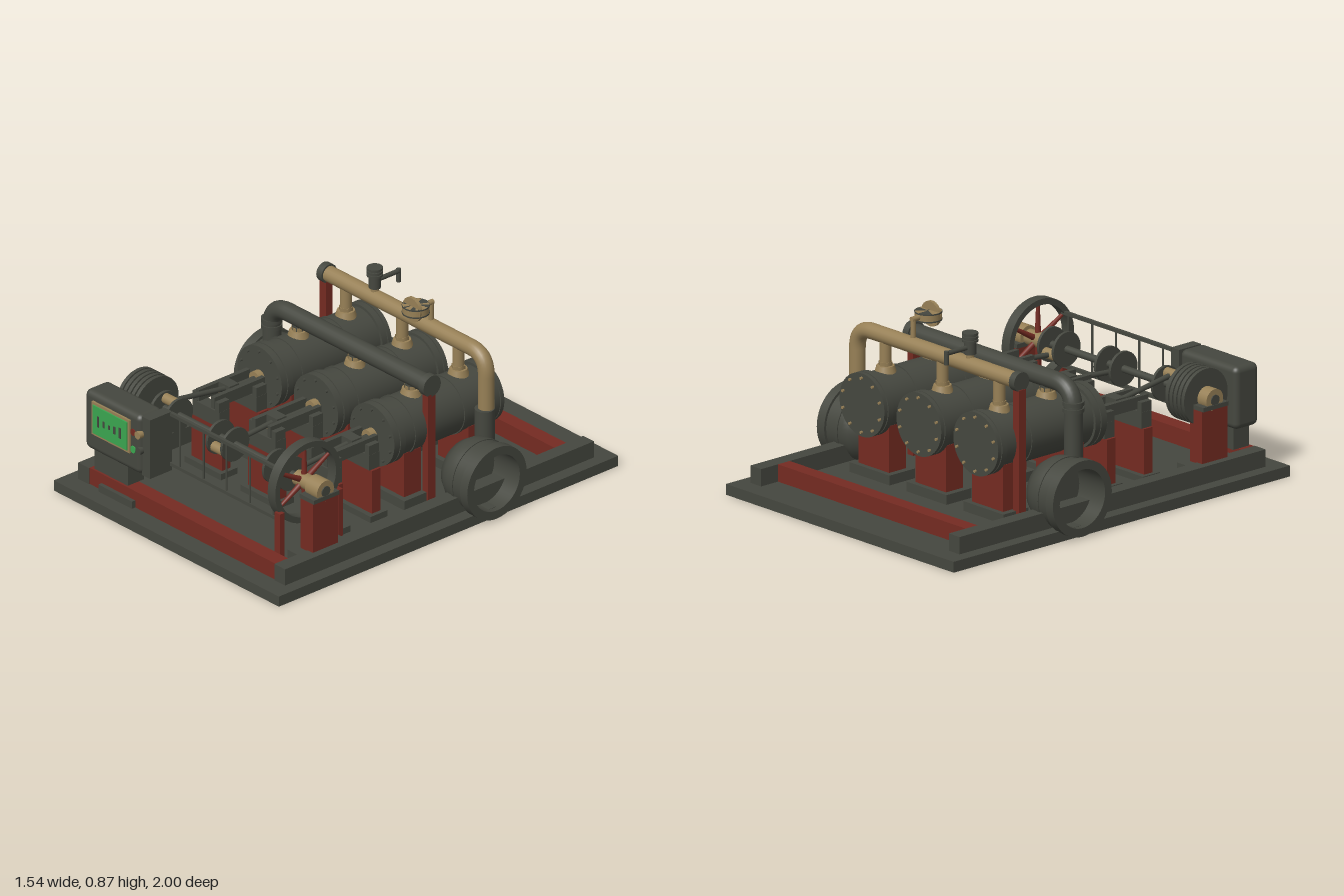
import * as THREE from 'three';
import { toCreasedNormals } from 'three/addons/utils/BufferGeometryUtils.js';
import { RoundedBoxGeometry } from 'three/addons/geometries/RoundedBoxGeometry.js';

const paint = (name, color) => {
  const m = new THREE.MeshStandardMaterial({ color });
  m.name = name;
  return m;
};

export function createModel() {
  const iron = paint('dark iron', 0x45473f);
  const red = paint('oxide red', 0x752b22);
  const brass = paint('brass', 0x978056);
  const green = paint('screen green', 0x3ba650);
  const model = new THREE.Group();
  model.name = 'steamPump';
  const V = (x, y, z) => new THREE.Vector3(x, y, z);

  const add = (name, geo, mat, x = 0, y = 0, z = 0) => {
    const m = new THREE.Mesh(geo, mat);
    m.name = name;
    m.position.set(x, y, z);
    model.add(m);
    return m;
  };
  // box from its limits on each axis
  const box = (name, mat, x0, x1, y0, y1, z0, z1) =>
    add(name, new THREE.BoxGeometry(x1 - x0, y1 - y0, z1 - z0), mat, (x0 + x1) / 2, (y0 + y1) / 2, (z0 + z1) / 2);
  // round bar between two points
  const rod = (name, mat, a, b, r, r2 = r, seg = 24) => {
    const d = b.clone().sub(a);
    const m = add(name, new THREE.CylinderGeometry(r2, r, d.length(), seg), mat);
    m.position.copy(a).add(b).multiplyScalar(0.5);
    m.quaternion.setFromUnitVectors(V(0, 1, 0), d.normalize());
    return m;
  };
  const rodX = (name, mat, x0, x1, y, z, r, seg) => rod(name, mat, V(x0, y, z), V(x1, y, z), r, r, seg);
  const rodY = (name, mat, x, y0, y1, z, r, seg) => rod(name, mat, V(x, y0, z), V(x, y1, z), r, r, seg);
  const rodZ = (name, mat, x, y, z0, z1, r, seg) => rod(name, mat, V(x, y, z0), V(x, y, z1), r, r, seg);
  const lathe = (pts, seg = 40) =>
    toCreasedNormals(new THREE.LatheGeometry(pts.map(p => new THREE.Vector2(...p)), seg), 0.6);
  // horizontal pipe with one rounded elbow turning down
  const elbowPipe = (name, mat, xEnd, xBend, y, yLow, z, r, bend) => {
    const s = Math.sign(xBend - xEnd);
    const path = new THREE.CurvePath();
    path.add(new THREE.LineCurve3(V(xEnd, y, z), V(xBend - s * bend, y, z)));
    path.add(new THREE.QuadraticBezierCurve3(V(xBend - s * bend, y, z), V(xBend, y, z), V(xBend, y - bend, z)));
    path.add(new THREE.LineCurve3(V(xBend, y - bend, z), V(xBend, yLow, z)));
    return add(name, new THREE.TubeGeometry(path, 90, r, 20), mat);
  };

  // base plate and frame
  box('basePlate', iron, -0.74, 0.74, 0, 0.05, -1, 1);
  for (const s of [-1, 1]) {
    box('sideRail', iron, s * 0.645 - 0.035, s * 0.645 + 0.035, 0.05, 0.13, -0.91, 0.91);
    box('bearingPad', iron, s * 0.61 - 0.07, s * 0.61 + 0.07, 0.05, 0.125, 0.51, 0.77);
  }
  box('rearBeam', red, -0.61, 0.61, 0.05, 0.13, -0.81, -0.74);
  box('frontBeam', red, -0.61, 0.61, 0.05, 0.13, 0.83, 0.905);
  box('frontStep', iron, -0.53, -0.31, 0.05, 0.085, 0.9, 0.925);

  // three cylinder units with crossheads and cranks
  [-0.37, 0, 0.37].forEach((x, i) => {
    const y = 0.4;
    rodZ('cylinder', iron, x, y, -0.5, 0.1, 0.133, 40);
    for (const [a, b, r] of [[-0.53, -0.51, 0.146], [-0.505, -0.475, 0.146], [0.05, 0.08, 0.146], [0.085, 0.118, 0.146],
      [-0.32, -0.305, 0.138], [-0.03, -0.015, 0.138]]) rodZ('cylinderFlange', iron, x, y, a, b, r, 40);
    for (let k = 0; k < 10; k++) {
      const a = (k + 0.5) / 10 * Math.PI * 2, bx = x + Math.cos(a) * 0.125, by = y + Math.sin(a) * 0.125;
      rodZ('rearBolt', brass, bx, by, -0.54, -0.52, 0.007, 6);
      rodZ('frontBolt', iron, bx, by, 0.11, 0.13, 0.007, 6);
    }
    // pedestals
    for (const z of [-0.41, -0.03]) {
      box('pedestalFoot', iron, x - 0.13, x + 0.13, 0.05, 0.095, z - 0.075, z + 0.075);
      box('pedestal', red, x - 0.1, x + 0.1, 0.095, 0.31, z - 0.05, z + 0.05);
    }
    // branch pipes
    rodY('steamBranch', brass, x, 0.5, 0.68, -0.39, 0.027);
    rodY('exhaustBranch', iron, x, 0.5, 0.6, -0.11, 0.028);
    for (const z of [-0.39, -0.11]) {
      rod('branchFlare', brass, V(x, 0.515, z), V(x, 0.555, z), 0.052, 0.04, 20);
      rodY('branchNut', brass, x, 0.555, 0.572, z, 0.032, 6);
    }
    // piston gland, rod and guides
    rodZ('gland', brass, x, y, 0.11, 0.15, 0.034);
    const headZ = [0.3, 0.35, 0.24][i];
    rodZ('pistonRod', iron, x, y, 0.14, headZ, 0.014);
    for (const s of [-1, 1]) {
      box('guideBar', iron, x + s * 0.05 - 0.011, x + s * 0.05 + 0.011, 0.375, 0.43, 0.14, 0.44);
      for (const z of [0.185, 0.405]) box('guideBracket', iron, x + s * 0.073 - 0.014, x + s * 0.073 + 0.014, 0.29, 0.41, z - 0.03, z + 0.03);
    }
    for (const z of [0.185, 0.405]) {
      box('guideFoot', iron, x - 0.12, x + 0.12, 0.05, 0.08, z - 0.05, z + 0.05);
      box('guidePost', red, x - 0.1, x + 0.1, 0.08, 0.29, z - 0.025, z + 0.025);
      box('guideTie', iron, x - 0.088, x + 0.088, 0.29, 0.365, z - 0.03, z + 0.03);
    }
    box('crosshead', iron, x - 0.035, x + 0.035, 0.385, 0.435, headZ - 0.028, headZ + 0.028);
    box('crossheadShoe', brass, x - 0.037, x + 0.037, 0.365, 0.385, headZ - 0.028, headZ + 0.028);
    // crank throw
    const a = [Math.PI / 2, -Math.PI / 6, Math.PI * 7 / 6][i];
    const pinY = 0.41 + Math.sin(a) * 0.052, pinZ = 0.64 + Math.cos(a) * 0.052;
    for (const s of [-1, 1]) rodX('crankDisc', iron, x + s * 0.048 - 0.007, x + s * 0.048 + 0.007, 0.41, 0.64, 0.08, 32);
    rodX('crankPin', iron, x - 0.05, x + 0.05, pinY, pinZ, 0.013);
    rodX('bigEnd', brass, x - 0.036, x + 0.036, pinY, pinZ, 0.024);
    rod('connectingRod', iron, V(x, y + 0.01, headZ), V(x, pinY, pinZ), 0.012);
  });

  // steam manifold
  elbowPipe('steamManifold', brass, -0.5, 0.553, 0.69, 0.4, -0.39, 0.037, 0.1);
  rodX('steamCap', iron, -0.515, -0.48, 0.69, -0.39, 0.045);
  rodY('steamSocket', iron, 0.553, 0.25, 0.43, -0.38, 0.045);
  box('steamPipePost', red, -0.52, -0.48, 0.05, 0.655, -0.41, -0.37);

  // exhaust manifold
  elbowPipe('exhaustManifold', iron, 0.5, -0.545, 0.615, 0.22, -0.11, 0.042, 0.11);
  rodX('exhaustCap', iron, 0.475, 0.51, 0.615, -0.11, 0.051);
  for (const y of [0.5, 0.53]) rodY('exhaustCollar', iron, -0.545, y, y + 0.018, -0.11, 0.048);
  box('exhaustPost', red, 0.475, 0.51, 0.05, 0.575, -0.13, -0.085);

  // large open side pipes
  for (const s of [-1, 1]) {
    const port = add('sidePort', lathe([[0, 0.51], [0.07, 0.515], [0.13, 0.545], [0.158, 0.59], [0.163, 0.62], [0.163, 0.645],
      [0.167, 0.645], [0.167, 0.66], [0.163, 0.66], [0.163, 0.72], [0.175, 0.72], [0.175, 0.768],
      [0.135, 0.768], [0.135, 0.6], [0, 0.6]], 48), iron, 0, 0.183, -0.26);
    port.rotation.z = -s * Math.PI / 2;
  }

  // safety valve with drain arm
  rodY('valveNeck', brass, -0.18, 0.72, 0.745, -0.39, 0.018);
  rodY('valveBody', iron, -0.18, 0.74, 0.81, -0.39, 0.027);
  for (const y of [0.798, 0.814, 0.83]) rodY('valveRing', iron, -0.18, y, y + 0.01, -0.39, 0.036);
  rodY('valveTop', iron, -0.18, 0.8, 0.838, -0.39, 0.03);
  rodZ('valveArm', iron, -0.18, 0.772, -0.535, -0.39, 0.011);
  rodY('valveSpout', iron, -0.18, 0.72, 0.783, -0.53, 0.011);

  // pressure gauge
  rodY('gaugeStem', brass, 0.19, 0.71, 0.81, -0.39, 0.012);
  rodZ('gaugeArm', brass, 0.19, 0.81, -0.4, -0.3, 0.012);
  rodY('gaugeBody', brass, 0.19, 0.79, 0.83, -0.3, 0.06, 32);
  rodZ('gaugeDial', brass, 0.19, 0.812, -0.29, -0.274, 0.058, 32);
  for (const y of [0.79, 0.824]) rodY('gaugeBand', iron, 0.19, y, y + 0.006, -0.3, 0.062, 32);

  // crankshaft and end bearings
  rodX('crankshaft', iron, -0.62, 0.62, 0.41, 0.64, 0.017);
  for (const s of [-1, 1]) {
    box('bearingStand', red, s * 0.605 - 0.04, s * 0.605 + 0.04, 0.12, 0.37, 0.565, 0.715);
    box('bearingSaddle', iron, s * 0.605 - 0.047, s * 0.605 + 0.047, 0.37, 0.39, 0.565, 0.715);
    rodX('bearing', brass, s * 0.565, s * 0.645, 0.41, 0.64, 0.05, 28);
    rodX('bearingCap', iron, s * 0.59, s * 0.65, 0.41, 0.64, 0.024);
  }

  // grooved drive pulley
  for (let k = 0; k < 5; k++) rodX('pulleyRib', iron, -0.587 + k * 0.026, -0.569 + k * 0.026, 0.41, 0.64, 0.13, 40);
  rodX('pulleyCore', iron, -0.58, -0.468, 0.41, 0.64, 0.115, 40);

  // flywheel
  const rim = add('flywheelRim', lathe([[0.165, -0.025], [0.193, -0.025], [0.193, 0.025], [0.165, 0.025], [0.165, -0.025]], 56), iron, 0.505, 0.41, 0.64);
  rim.rotation.z = -Math.PI / 2;
  rodX('flywheelHub', brass, 0.465, 0.56, 0.41, 0.64, 0.036);
  for (let k = 0; k < 6; k++) {
    const a = k * Math.PI / 3, c = Math.sin(a), h = Math.cos(a);
    rod('flywheelSpoke', red, V(0.505, 0.41 + h * 0.03, 0.64 + c * 0.03), V(0.505, 0.41 + h * 0.172, 0.64 + c * 0.172), 0.014, 0.008, 12);
  }
  for (const z of [0.465, 0.81]) box('flywheelPost', red, 0.515, 0.55, 0.05, 0.32, z - 0.014, z + 0.014);

  // guard railing
  for (const y of [0.262, 0.508]) box('guardRail', iron, -0.22, 0.5, y - 0.008, y + 0.008, 0.772, 0.788);
  for (const x of [-0.155, 0.0, 0.15, 0.305, 0.46]) rodY('guardUpright', iron, x, 0.262, 0.508, 0.78, 0.005, 10);

  // control cabinet
  box('cabinetStand', iron, -0.59, -0.37, 0.13, 0.25, 0.8, 0.895);
  add('cabinet', new RoundedBoxGeometry(0.37, 0.29, 0.14, 4, 0.028), iron, -0.445, 0.375, 0.85);
  box('cabinetSide', iron, -0.265, -0.213, 0.228, 0.518, 0.775, 0.905);
  box('screenFrame', brass, -0.57, -0.32, 0.322, 0.484, 0.9, 0.93);
  box('screen', green, -0.558, -0.332, 0.334, 0.472, 0.928, 0.936);
  for (let k = 0; k < 5; k++) {
    const h = [0.026, 0.015, 0.01, 0.018, 0.026][k];
    box('screenMark', iron, -0.525 + k * 0.036, -0.513 + k * 0.036, 0.403 - h, 0.403 + h, 0.935, 0.939);
  }
  rodZ('knob', brass, -0.27, 0.43, 0.9, 0.93, 0.018);
  rodZ('redButton', red, -0.305, 0.43, 0.9, 0.925, 0.016);
  rodZ('greenButton', green, -0.305, 0.345, 0.9, 0.925, 0.017);
  rodZ('darkButton', iron, -0.27, 0.35, 0.9, 0.925, 0.018);

  return model;
}
